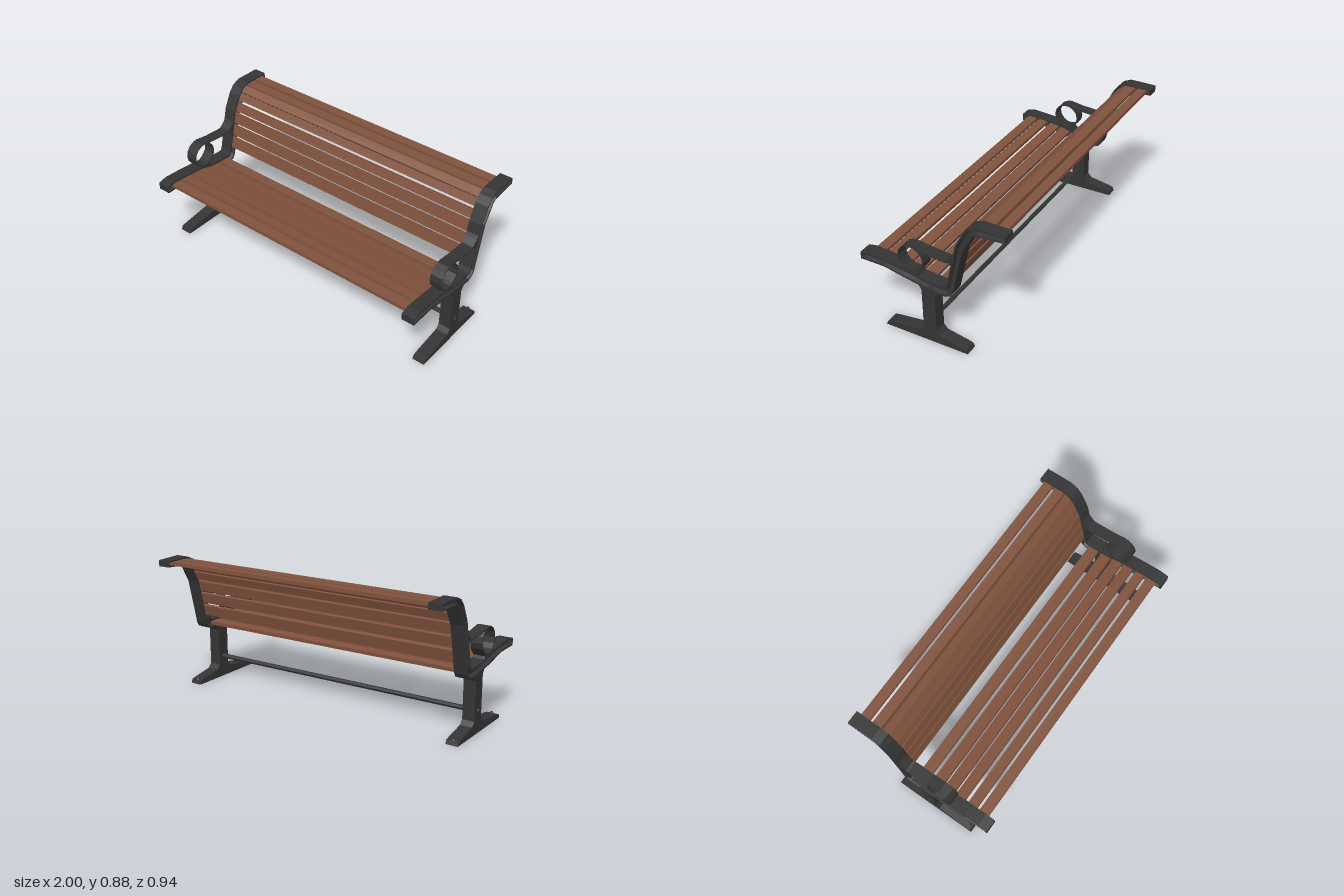
import * as THREE from 'three';

const metal = new THREE.MeshStandardMaterial({ color: 0x343434, flatShading: true });
metal.name = 'dark cast iron';
const wood = new THREE.MeshStandardMaterial({ color: 0x80523d, flatShading: true });
wood.name = 'brown wood';

const mesh = (name, geo, mat) => {
  const m = new THREE.Mesh(geo, mat);
  m.name = name;
  return m;
};

// Extrude a side profile of [z, y] points across x, centred on x = 0
function sidePlate(points, width, hole) {
  const toV = (p) => new THREE.Vector2(p[0], p[1]);
  const shape = new THREE.Shape(points.map(toV));
  if (hole) shape.holes.push(new THREE.Path(hole.map(toV)));
  const geo = new THREE.ExtrudeGeometry(shape, { depth: width, bevelEnabled: false });
  return geo.rotateY(-Math.PI / 2).translate(width / 2, 0, 0);
}

// Seat and back beam: matching upper and lower edge points plus recess depth
const STATIONS = [
  [0.47, 0.468, 0.47, 0.422, 0],
  [0.455, 0.472, 0.455, 0.422, 0.022],
  [0.41, 0.48, 0.41, 0.422, 0.022],
  [0.31, 0.473, 0.31, 0.421, 0.022],
  [0.16, 0.458, 0.18, 0.395, 0.022],
  [0.08, 0.431, 0.08, 0.377, 0.022],
  [0.0, 0.425, -0.02, 0.361, 0.022],
  [-0.08, 0.421, -0.09, 0.36, 0.022],
  [-0.092, 0.425, -0.125, 0.375, 0.022],
  [-0.1, 0.44, -0.14, 0.4, 0.022],
  [-0.165, 0.72, -0.21, 0.7, 0.022],
  [-0.215, 0.82, -0.25, 0.77, 0.022],
  [-0.25, 0.86, -0.275, 0.815, 0.022],
  [-0.3, 0.881, -0.3, 0.83, 0.022],
  [-0.455, 0.878, -0.455, 0.839, 0.022],
  [-0.47, 0.878, -0.47, 0.839, 0],
];

// Sweep a section with a shallow channel on both sides through the stations
function beamGeometry(width) {
  const h = width / 2;
  const pos = [];
  const rings = STATIONS.map(([tz, ty, bz, by, d]) => {
    const at = (x, t) => [x, ty + (by - ty) * t, tz + (bz - tz) * t];
    return [
      at(-h, 0), at(h, 0), at(h, 0.2), at(h - d, 0.32), at(h - d, 0.68), at(h, 0.8),
      at(h, 1), at(-h, 1), at(-h, 0.8), at(d - h, 0.68), at(d - h, 0.32), at(-h, 0.2),
    ];
  });
  const tri = (a, b, c) => pos.push(...a, ...b, ...c);
  const n = rings[0].length;
  for (let i = 0; i < rings.length - 1; i++) {
    for (let j = 0; j < n; j++) {
      const k = (j + 1) % n;
      tri(rings[i][j], rings[i][k], rings[i + 1][j]);
      tri(rings[i][k], rings[i + 1][k], rings[i + 1][j]);
    }
  }
  const first = rings[0], last = rings[rings.length - 1];
  for (let j = 1; j < n - 1; j++) {
    tri(first[0], first[j + 1], first[j]);
    tri(last[0], last[j], last[j + 1]);
  }
  const geo = new THREE.BufferGeometry();
  geo.setAttribute('position', new THREE.Float32BufferAttribute(pos, 3));
  geo.computeVertexNormals();
  return geo;
}

const circle = (z, y, r, n) => Array.from({ length: n }, (_, i) => {
  const a = (i / n) * Math.PI * 2;
  return [z + Math.cos(a) * r, y + Math.sin(a) * r];
});

function sideFrame(name) {
  const g = new THREE.Group();
  g.name = name;
  g.add(mesh('beam', beamGeometry(0.082), metal));

  // Pedestal leg with spreading foot
  g.add(mesh('leg', sidePlate([
    [0.33, 0], [0.319, 0.024], [0.285, 0.031], [0.09, 0.057], [0.067, 0.085],
    [0.067, 0.35], [0.085, 0.378], [0, 0.385], [-0.045, 0.362], [-0.019, 0.332],
    [-0.019, 0.085], [-0.045, 0.057], [-0.185, 0.031], [-0.213, 0.024], [-0.222, 0],
  ], 0.078), metal));

  // Foot bolts
  for (const z of [0.3, -0.2]) {
    const bolt = mesh('footBolt', new THREE.CylinderGeometry(0.009, 0.015, 0.016, 6), metal);
    bolt.position.set(0, 0.031, z);
    g.add(bolt);
  }

  // Armrest: ring, strap to the back, and foot on the seat
  g.add(mesh('armRing', sidePlate(circle(0.13, 0.535, 0.086, 14), 0.076,
    circle(0.13, 0.535, 0.079, 14)), metal));
  g.add(mesh('armStrap', sidePlate([
    [-0.155, 0.66], [-0.135, 0.633], [-0.102, 0.602], [-0.088, 0.598], [0.04, 0.607],
    [0.13, 0.622], [0.13, 0.614], [0.04, 0.6], [-0.09, 0.589], [-0.12, 0.592], [-0.14, 0.57],
  ], 0.076), metal));
  g.add(mesh('armFoot', sidePlate([
    [0.175, 0.455], [0.13, 0.456], [0.105, 0.453], [0.046, 0.52], [0.053, 0.498],
    [0.092, 0.45], [0.08, 0.425], [0.15, 0.44],
  ], 0.076), metal));
  return g;
}

// Slats: centre z, centre y, width, tilt in degrees (rising towards the back)
const SEAT = [
  [0.392, 0.451, 0.065, 0], [0.31, 0.447, 0.062, -5], [0.222, 0.435, 0.066, -9],
  [0.14, 0.42, 0.07, -11], [0.055, 0.404, 0.07, -9], [-0.04, 0.393, 0.07, -3],
];
const BACK = [
  [-0.138, 0.5, 0.07, 76], [-0.158, 0.586, 0.068, 76], [-0.178, 0.67, 0.067, 76],
  [-0.202, 0.743, 0.055, 68], [-0.237, 0.803, 0.05, 58], [-0.273, 0.842, 0.05, 40],
  [-0.33, 0.857, 0.062, 0], [-0.41, 0.859, 0.06, 0],
];

function slats(name, rows) {
  const g = new THREE.Group();
  g.name = name;
  for (const [z, y, w, tilt] of rows) {
    const slat = mesh('slat', new THREE.BoxGeometry(1.86, 0.022, w), wood);
    slat.position.set(0, y, z);
    slat.rotation.x = THREE.MathUtils.degToRad(tilt);
    g.add(slat);
  }
  return g;
}

export function createModel() {
  const model = new THREE.Group();
  model.name = 'parkBench';

  for (const side of [1, -1]) {
    const frame = sideFrame(side > 0 ? 'leftFrame' : 'rightFrame');
    frame.position.x = side * 0.95;
    model.add(frame);
  }
  model.add(slats('seatSlats', SEAT), slats('backSlats', BACK));

  // Hexagonal tie rod between the legs
  const rod = mesh('tieRod', new THREE.CylinderGeometry(0.015, 0.015, 2, 6), metal);
  rod.rotation.z = Math.PI / 2;
  rod.position.set(0, 0.14, 0.023);
  model.add(rod);
  return model;
}
